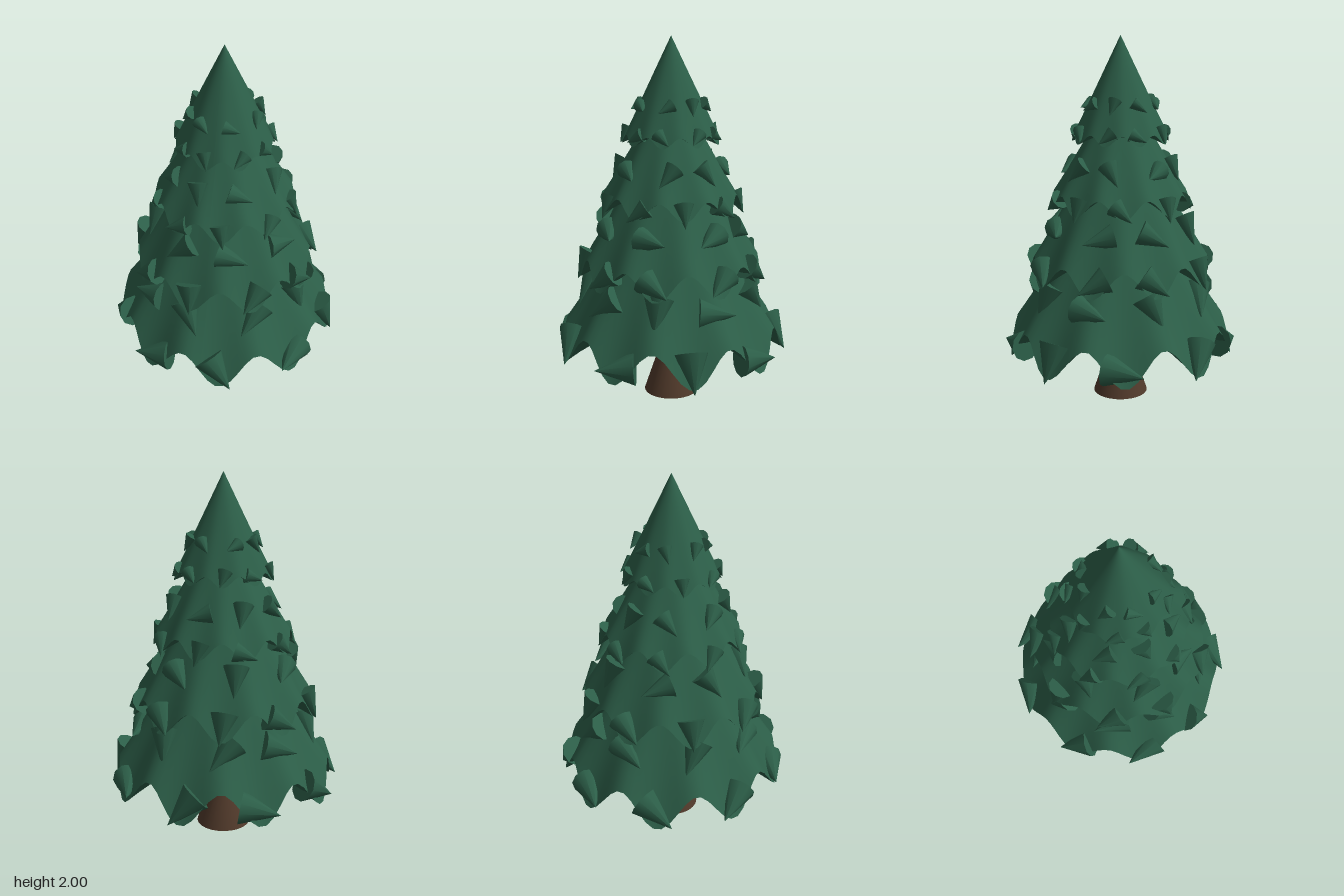
import * as THREE from 'three';

const LOBES = 9;
const AXIS_X = -0.015;

// Surface of revolution whose hem rises and dips in nine lobes
function lobedGeometry(points, { radius, wave, phase }) {
  const geo = new THREE.LatheGeometry(points, 90);
  const pos = geo.attributes.position;
  for (let i = 0; i < pos.count; i++) {
    const x = pos.getX(i), z = pos.getZ(i);
    const t = Math.hypot(x, z) / radius;
    const c = Math.cos(LOBES * (Math.atan2(z, x) - phase));
    const swell = 1 + 0.025 * c * t * t;
    pos.setXYZ(i, x * swell, pos.getY(i) - wave * c * t * t * t, z * swell);
  }
  geo.computeVertexNormals();
  return geo;
}

// Straight run of profile points between two (radius, height) ends
function run(r0, y0, r1, y1, steps = 10) {
  return Array.from({ length: steps + 1 }, (_, i) =>
    new THREE.Vector2(r0 + (r1 - r0) * i / steps, y0 + (y1 - y0) * i / steps));
}

export function createModel() {
  const needles = new THREE.MeshStandardMaterial({ color: 0x2c5e48, side: THREE.DoubleSide });
  needles.name = 'pine green';
  const bark = new THREE.MeshStandardMaterial({ color: 0x50392a });
  bark.name = 'bark brown';

  const tree = new THREE.Group();
  tree.name = 'pineTree';
  const add = (parent, name, geo, mat) => {
    const mesh = new THREE.Mesh(geo, mat);
    mesh.name = name;
    parent.add(mesh);
    return mesh;
  };

  // Trunk: flared foot below a nearly straight stem
  add(tree, 'trunkFoot', new THREE.CylinderGeometry(0.085, 0.152, 0.2, 24), bark).position.set(AXIS_X, 0.1, 0);
  add(tree, 'trunkStem', new THREE.CylinderGeometry(0.075, 0.085, 0.4, 24), bark).position.set(AXIS_X, 0.4, 0);

  // Foliage skirts with folded undersides, lowest first; every other one is turned by half a lobe
  const half = Math.PI / LOBES;
  const tiers = [
    { radius: 0.607, hem: 0.35, apex: 1.4, wave: 0.09, phase: 0 },
    { radius: 0.493, hem: 0.75, apex: 1.65, wave: 0.068, phase: half },
    { radius: 0.378, hem: 1.12, apex: 1.78, wave: 0.047, phase: 0 },
    { radius: 0.26, hem: 1.46, apex: 2.0, wave: 0.027, phase: half },
  ];
  tiers.forEach((tier, i) => {
    const { radius, hem, apex, wave } = tier;
    const skirt = run(radius, hem, 0, apex);
    const under = run(0, hem + wave * 1.5, radius, hem);
    add(tree, 'foliageSkirt' + (i + 1), lobedGeometry(skirt, tier), needles).position.x = AXIS_X;
    add(tree, 'skirtUnderside' + (i + 1), lobedGeometry(under, tier), needles).position.x = AXIS_X;
  });

  // A tuft is a small cone leaning outward; spin swings its tip from straight down to sideways
  const up = new THREE.Vector3(0, 1, 0);
  const OUT = 0.45, ALONG = 0.893;
  const tuft = (parent, geo, angle, r, y, spin) => {
    const mesh = add(parent, 'tuft', geo, needles);
    const c = Math.cos(angle), s = Math.sin(angle);
    mesh.position.set(AXIS_X + r * c, y, r * s);
    const side = ALONG * Math.sin(spin);
    const dir = new THREE.Vector3(OUT * c - side * s, -ALONG * Math.cos(spin), OUT * s + side * c);
    mesh.quaternion.setFromUnitVectors(up, dir);
  };

  // Rows of tufts on each hem and halfway up each skirt, spaced evenly from the start angle;
  // spins in degrees, one for each tuft
  const rows = [
    { name: 'hemTufts1', r: 0.595, y: 0.335, length: 0.21, base: 0.088, start: 0,
      spins: [0, 85, -40, 80, 60, -60, -80, 40, -85] },
    { name: 'upperTufts1', r: 0.475, y: 0.595, length: 0.2, base: 0.08, start: 20,
      spins: [5, 50, -35, 80, 30, -70, 45, -20, -85] },
    { name: 'hemTufts2', r: 0.485, y: 0.745, length: 0.17, base: 0.073, start: 20,
      spins: [-60, 50, -10, 60, 0, -60, 10, -50, 60] },
    { name: 'upperTufts2', r: 0.385, y: 0.965, length: 0.17, base: 0.07, start: 25,
      spins: [-85, -80, 50, -30, 70, 10, -60, 75] },
    { name: 'hemTufts3', r: 0.37, y: 1.1, length: 0.13, base: 0.055, start: 0,
      spins: [0, 50, -10, 70, 45, -45, -70, 10, -50] },
    { name: 'upperTufts3', r: 0.29, y: 1.285, length: 0.135, base: 0.056, start: 15,
      spins: [40, -70, -15, 60, -45, 20, 75, -30] },
    { name: 'hemTufts4', r: 0.253, y: 1.475, length: 0.095, base: 0.04, start: 20,
      spins: [-50, 60, -20, 70, 0, -70, 20, -60, 50] },
    { name: 'upperTufts4', r: 0.192, y: 1.628, length: 0.092, base: 0.037, start: 20,
      spins: [60, -75, -70, 40, -20, 70, -50, 15] },
  ];
  for (const { name, r, y, length, base, start, spins } of rows) {
    const group = new THREE.Group();
    group.name = name;
    const geo = new THREE.ConeGeometry(base, length, 10);
    spins.forEach((spin, i) => {
      const angle = THREE.MathUtils.degToRad(start + (360 * i) / spins.length);
      tuft(group, geo, angle, r, y, THREE.MathUtils.degToRad(spin));
    });
    tree.add(group);
  }
  return tree;
}
